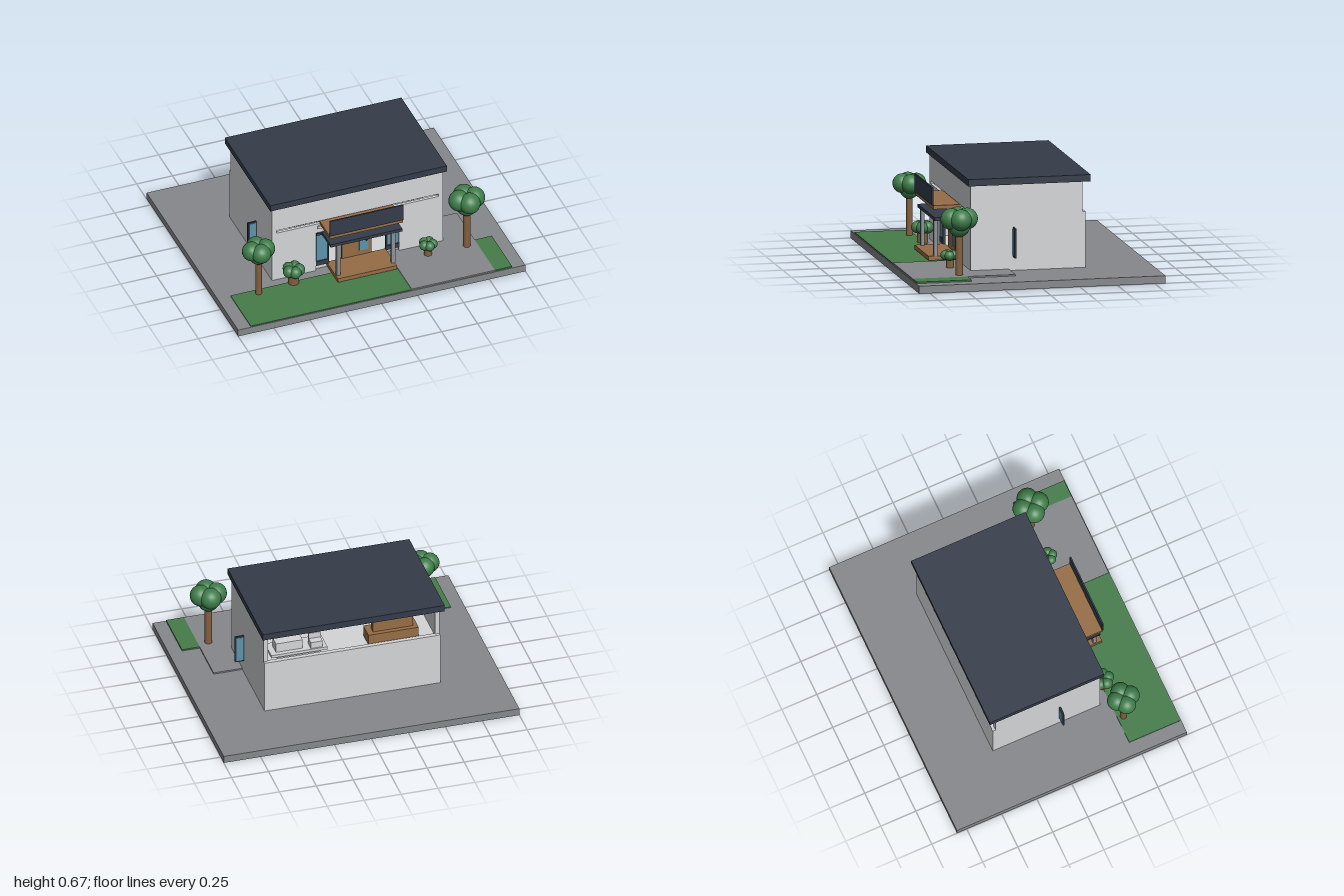
import * as THREE from 'three';

const mat = (name, color) => Object.assign(new THREE.MeshStandardMaterial({ color }), { name });

export function createModel() {
  const root = new THREE.Group();
  root.name = 'house';
  const wall = mat('wall', 0xd3d5d7);
  const dark = mat('darkSlate', 0x343c49);
  const paving = mat('paving', 0x85888c);
  const wood = mat('wood', 0x966d45);
  const trunkWood = mat('trunkWood', 0x83603f);
  const glass = mat('glass', 0x5e93ac);
  const grass = mat('grass', 0x457c4a);
  const leaf = mat('leaf', 0x3f7d4a);
  const grey = mat('grey', 0x8d9196);

  // box given by its lower and upper bounds
  const box = (name, m, x0, x1, y0, y1, z0, z1, parent = root) => {
    const mesh = new THREE.Mesh(new THREE.BoxGeometry(x1 - x0, y1 - y0, z1 - z0), m);
    mesh.position.set((x0 + x1) / 2, (y0 + y1) / 2, (z0 + z1) / 2);
    mesh.name = name;
    parent.add(mesh);
    return mesh;
  };
  // same box on both sides of x = 0
  const pair = (name, m, x0, x1, ...rest) => {
    box(name + 'Left', m, x0, x1, ...rest);
    box(name + 'Right', m, -x1, -x0, ...rest);
  };

  // site
  box('groundSlab', paving, -1, 1, 0, 0.05, -0.82, 0.82);
  box('path', paving, 0.21, 0.79, 0.05, 0.06, 0.13, 0.815);
  box('lawn', grass, -0.91, 0.21, 0.05, 0.056, 0.45, 0.815);
  box('sideLawn', grass, 0.79, 0.91, 0.05, 0.06, 0.45, 0.815);

  // shell: the upper back is open
  pair('sideWallLower', wall, 0.565, 0.595, 0.05, 0.42, -0.38, 0.365);
  pair('sideWallUpper', wall, 0.565, 0.595, 0.42, 0.62, -0.36, 0.385);
  box('backWall', wall, -0.565, 0.565, 0.05, 0.42, -0.38, -0.35);
  pair('frontWall', wall, 0.29, 0.595, 0.05, 0.42, 0.365, 0.385);
  box('lintel', wall, -0.29, 0.29, 0.35, 0.42, 0.365, 0.385);
  box('frontLedge', wall, -0.28, 0.28, 0.385, 0.405, 0.385, 0.395);
  box('upperFrontWall', wall, -0.565, 0.565, 0.44, 0.62, 0.365, 0.385);
  box('groundFloor', wall, -0.565, 0.565, 0.05, 0.075, -0.35, 0.365);
  box('upperFloor', wall, -0.565, 0.565, 0.385, 0.405, -0.35, 0.365);
  box('roof', dark, -0.615, 0.615, 0.62, 0.665, -0.41, 0.405);

  // upper windows standing just inside the front wall
  pair('upperWindowFrame', dark, 0.26, 0.47, 0.42, 0.585, 0.352, 0.36);
  pair('upperWindowGlass', glass, 0.275, 0.455, 0.43, 0.57, 0.348, 0.364);

  // entrance: door and tall windows beside it
  box('door', wood, -0.105, 0.1, 0.075, 0.34, 0.36, 0.375);
  box('doorGlass', glass, 0.015, 0.08, 0.125, 0.3, 0.357, 0.378);
  box('doorHandle', dark, 0.062, 0.075, 0.195, 0.205, 0.378, 0.384);
  pair('entryGlass', glass, 0.205, 0.285, 0.12, 0.335, 0.376, 0.384);
  pair('entrySill', dark, 0.205, 0.29, 0.09, 0.125, 0.37, 0.39);
  pair('entryHead', dark, 0.205, 0.29, 0.333, 0.35, 0.37, 0.395);
  pair('entryJamb', dark, 0.198, 0.207, 0.09, 0.35, 0.37, 0.388);

  // porch
  box('deck', wood, -0.21, 0.2, 0.062, 0.09, 0.37, 0.575);
  box('porchRoof', dark, -0.25, 0.25, 0.33, 0.352, 0.385, 0.545);
  pair('porchPost', grey, 0.178, 0.204, 0.09, 0.33, 0.515, 0.54);
  box('canopy', wood, -0.26, 0.25, 0.408, 0.433, 0.335, 0.555);
  box('canopyBoard', dark, -0.26, 0.25, 0.433, 0.552, 0.553, 0.563);

  // side windows swung out from the walls
  pair('sashFrame', dark, 0.595, 0.655, 0.14, 0.335, 0.094, 0.104);
  pair('sashGlass', glass, 0.6, 0.645, 0.15, 0.325, 0.091, 0.107);

  // upstairs furniture
  box('counter', wall, 0.16, 0.54, 0.43, 0.45, -0.35, -0.2);
  box('counterBase', wall, 0.2, 0.5, 0.405, 0.43, -0.32, -0.22);
  box('counterBox', wall, 0.32, 0.5, 0.45, 0.515, -0.32, -0.24);
  box('stoolSeat', wall, 0.19, 0.27, 0.45, 0.495, -0.34, -0.28);
  box('stoolBack', wall, 0.19, 0.27, 0.495, 0.535, -0.29, -0.28);
  box('cabinet', wood, -0.43, -0.16, 0.405, 0.565, -0.31, -0.26);
  box('cabinetBench', wood, -0.46, -0.12, 0.405, 0.48, -0.34, -0.22);

  // downstairs furniture
  box('chairSeat', grey, -0.19, -0.14, 0.075, 0.18, 0.05, 0.11);
  box('chairBack', grey, -0.19, -0.15, 0.18, 0.25, 0.05, 0.065);
  box('wallShelf', wood, -0.18, -0.14, 0.28, 0.33, -0.34, -0.28);
  box('bench', wood, 0.12, 0.18, 0.075, 0.13, 0.1, 0.2);
  box('screen', dark, 0.15, 0.172, 0.12, 0.33, 0.2, 0.215);

  // trees and bushes: a ring of round lobes on a trunk
  const plant = (name, x, z, trunkR, trunkTop, lobes, offset, r, y, squash, core) => {
    const g = new THREE.Group();
    g.name = name;
    g.position.set(x, 0, z);
    const trunk = new THREE.Mesh(new THREE.CylinderGeometry(trunkR, trunkR, trunkTop - 0.05, 16), trunkWood);
    trunk.position.y = (trunkTop + 0.05) / 2;
    trunk.name = 'trunk';
    g.add(trunk);
    const ball = new THREE.SphereGeometry(r, 24, 16);
    for (let i = 0; i < lobes; i++) {
      const a = (i / lobes) * Math.PI * 2 + (lobes === 4 ? 0 : Math.PI / 2);
      const lobe = new THREE.Mesh(ball, leaf);
      lobe.position.set(Math.cos(a) * offset, y, Math.sin(a) * offset);
      lobe.scale.y = squash;
      lobe.name = 'leafLobe';
      g.add(lobe);
    }
    if (core) {
      const c = new THREE.Mesh(ball, leaf);
      c.position.y = y - core;
      c.name = 'leafCore';
      g.add(c);
    }
    root.add(g);
  };
  plant('treeRight', -0.73, 0.49, 0.021, 0.36, 4, 0.047, 0.064, 0.4, 1, 0.04);
  plant('treeLeft', 0.72, 0.49, 0.025, 0.38, 4, 0.053, 0.07, 0.43, 1, 0.05);
  plant('bushRight', -0.475, 0.46, 0.037, 0.14, 5, 0.036, 0.04, 0.155, 1, 0);
  plant('bushLeft', 0.45, 0.49, 0.026, 0.13, 5, 0.031, 0.032, 0.142, 1, 0);

  return root;
}
